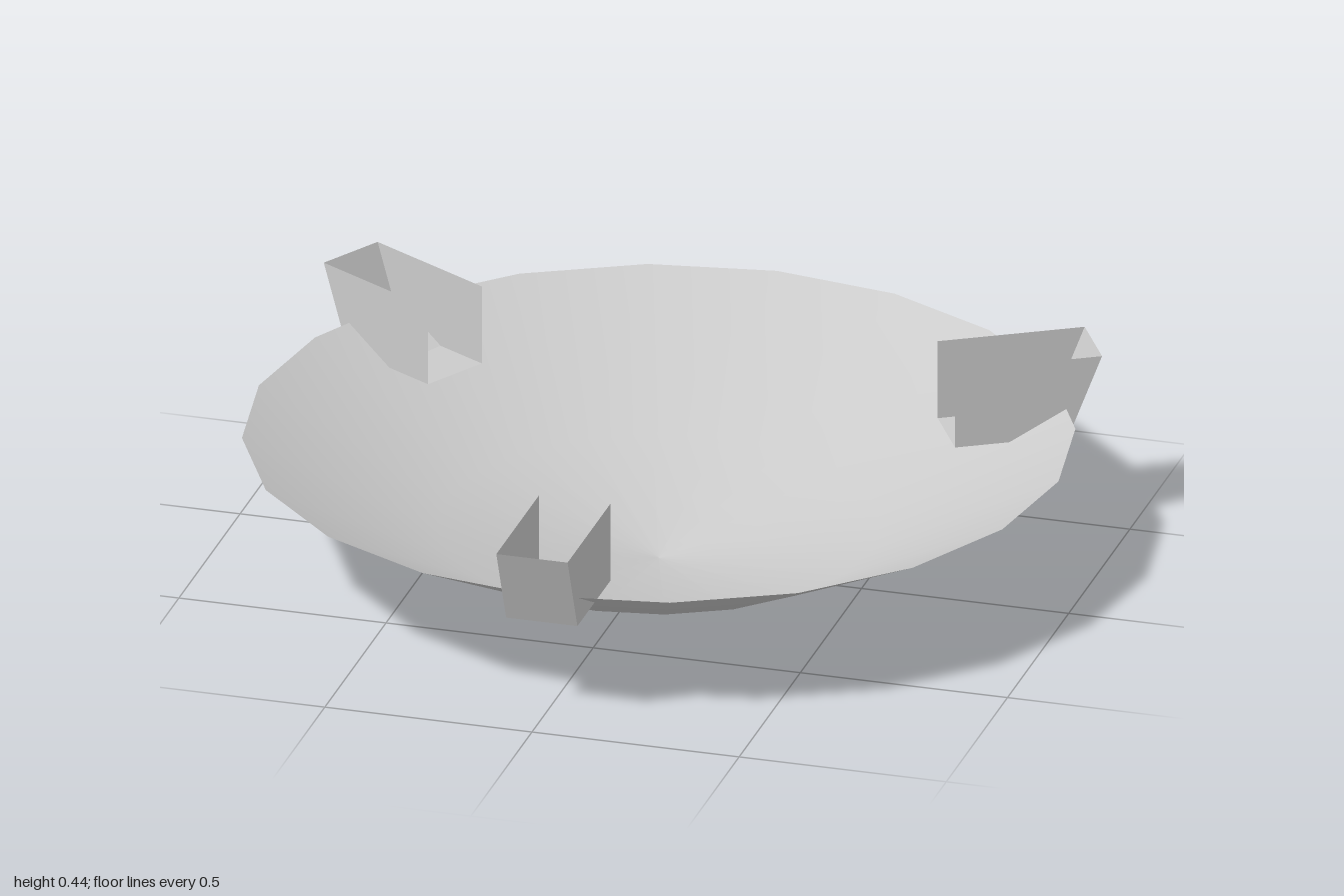
import * as THREE from 'three';

const material = new THREE.MeshStandardMaterial({ color: 0xcccccc, side: THREE.DoubleSide });
const flatMaterial = new THREE.MeshStandardMaterial({ color: 0xcccccc, side: THREE.DoubleSide, flatShading: true });

// Thin open bracket: slanted outer wall, floor and two sides; top and inner end open
function bracketGeometry() {
  const w = 0.086, inner = 0.685, outerLow = 0.955, outerTop = 1.035, low = 0.245, top = 0.44;
  const section = [[inner, top], [inner, low], [outerLow, low], [outerTop, top]];
  const points = [];
  for (const x of [-w, w]) for (const [z, y] of section) points.push(x, y, z);
  const index = [];
  const quad = (a, b, c, d) => index.push(a, b, c, a, c, d);
  quad(0, 1, 2, 3); // right side
  quad(7, 6, 5, 4); // left side
  quad(1, 5, 6, 2); // floor
  quad(2, 6, 7, 3); // outer wall
  const geometry = new THREE.BufferGeometry();
  geometry.setAttribute('position', new THREE.Float32BufferAttribute(points, 3));
  geometry.setIndex(index);
  const flat = geometry.toNonIndexed();
  flat.computeVertexNormals();
  return flat;
}

export function createModel() {
  const model = new THREE.Group();
  model.name = 'hangingBowl';
  model.position.z = -0.035;

  // Shallow open dish with a pointed base
  const profile = [[0, 0], [0.515, 0.085], [0.965, 0.315]].map(([r, y]) => new THREE.Vector2(r, y));
  const bowl = new THREE.Mesh(new THREE.LatheGeometry(profile, 20), material);
  bowl.name = 'bowl';
  model.add(bowl);

  // Three brackets evenly spaced round the rim
  const geometry = bracketGeometry();
  for (let i = 0; i < 3; i++) {
    const bracket = new THREE.Mesh(geometry, flatMaterial);
    bracket.name = 'rimBracket' + (i + 1);
    bracket.rotation.y = (i * Math.PI * 2) / 3;
    model.add(bracket);
  }

  const root = new THREE.Group();
  root.name = 'model';
  root.add(model);
  return root;
}
